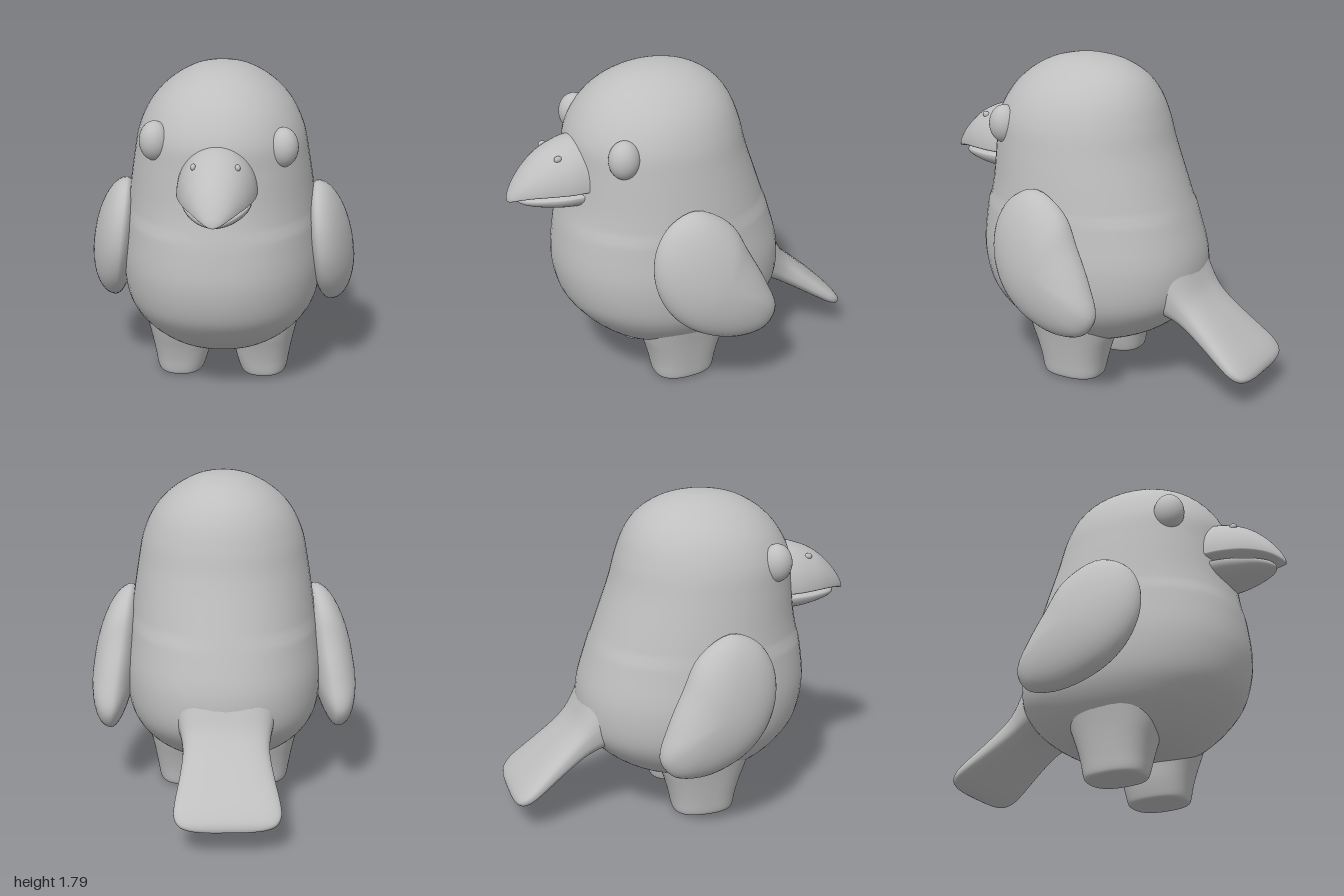
import * as THREE from 'three';

const SEG = 56;

// Catmull-Rom smoothing of every column in a table of section rows
function smooth(rows, sub = 6) {
  const out = [];
  for (let i = 0; i < rows.length - 1; i++) {
    const p = k => rows[Math.max(0, Math.min(rows.length - 1, k))];
    for (let s = 0; s < sub; s++) {
      const t = s / sub;
      out.push(rows[i].map((_, c) => {
        const a = p(i - 1)[c], b = p(i)[c], d = p(i + 1)[c], e = p(i + 2)[c];
        return b + 0.5 * t * (d - a + t * (2 * a - 5 * b + 4 * d - e + t * (3 * (b - d) + e - a)));
      }));
    }
  }
  out.push(rows[rows.length - 1]);
  return out;
}

// Superellipse point for step j, as [cosine-like, sine-like]
function unit(j, power = 2) {
  const a = (j / SEG) * Math.PI * 2, e = 2 / power;
  const f = v => Math.sign(v) * Math.pow(Math.abs(v), e);
  return [f(Math.cos(a)), f(Math.sin(a))];
}

// Closed skin over a stack of loops, with capped ends
function skin(rows, point) {
  const pos = [], idx = [];
  rows.forEach(r => { for (let j = 0; j < SEG; j++) pos.push(...point(r, j)); });
  for (let i = 0; i < rows.length - 1; i++) {
    for (let j = 0; j < SEG; j++) {
      const k = (j + 1) % SEG, a = i * SEG + j, b = i * SEG + k;
      idx.push(a, b, a + SEG, b, b + SEG, a + SEG);
    }
  }
  [0, rows.length - 1].forEach((i, end) => {
    const c = [0, 0, 0], n = pos.length / 3;
    for (let j = 0; j < SEG; j++) for (let q = 0; q < 3; q++) c[q] += pos[(i * SEG + j) * 3 + q] / SEG;
    pos.push(...c);
    for (let j = 0; j < SEG; j++) {
      const a = i * SEG + j, b = i * SEG + (j + 1) % SEG;
      if (end) idx.push(a, b, n); else idx.push(b, a, n);
    }
  });
  const g = new THREE.BufferGeometry();
  g.setAttribute('position', new THREE.Float32BufferAttribute(pos, 3));
  g.setIndex(idx);
  g.computeVertexNormals();
  return g;
}

// Copy reflected across x = 0, with the winding restored
function mirrored(geo) {
  const g = geo.clone().scale(-1, 1, 1);
  const a = g.index.array;
  for (let i = 0; i < a.length; i += 3) [a[i], a[i + 1]] = [a[i + 1], a[i]];
  g.computeVertexNormals();
  return g;
}

export function createModel() {
  const bird = new THREE.Group();
  bird.name = 'bird';
  const grey = new THREE.MeshStandardMaterial({ color: 0xbfbfbf });
  grey.name = 'plain grey';
  const add = (name, geo) => {
    const m = new THREE.Mesh(geo, grey);
    m.name = name;
    bird.add(m);
    return m;
  };
  const addPair = (name, geo) => {
    add('left' + name, geo);
    add('right' + name, mirrored(geo));
  };

  // Body and head: height, half width, front z, back z
  const bodyRows = smooth([
    [0.18, 0.02, 0.09, 0.05], [0.19, 0.17, 0.27, -0.12], [0.23, 0.29, 0.39, -0.23],
    [0.3, 0.395, 0.5, -0.375], [0.4, 0.485, 0.605, -0.495], [0.52, 0.535, 0.685, -0.565],
    [0.7, 0.55, 0.722, -0.57], [0.9, 0.53, 0.705, -0.515], [1.1, 0.505, 0.665, -0.445],
    [1.3, 0.475, 0.645, -0.375], [1.45, 0.445, 0.63, -0.335], [1.58, 0.385, 0.565, -0.285],
    [1.68, 0.295, 0.47, -0.21], [1.75, 0.185, 0.35, -0.1], [1.782, 0.09, 0.23, 0.02],
    [1.79, 0.01, 0.14, 0.11],
  ]);
  add('body', skin(bodyRows, ([y, w, f, b], j) => {
    const [c, s] = unit(j, y < 1 ? 2.15 : 2.05);
    return [w * s, y, (f + b) / 2 + c * (f - b) / 2];
  }));

  // Legs: height, centre x, half width, half depth
  const legRows = smooth([
    [0, 0.235, 0.105, 0.145], [0.003, 0.235, 0.122, 0.163], [0.025, 0.235, 0.135, 0.175],
    [0.1, 0.23, 0.153, 0.19], [0.18, 0.23, 0.168, 0.212], [0.26, 0.23, 0.185, 0.24], [0.36, 0.23, 0.21, 0.27],
  ], 4);
  addPair('Leg', skin(legRows, ([y, x, w, d], j) => {
    const [c, s] = unit(j, 2.5);
    return [x + w * s, y, 0.08 + d * c];
  }));

  // Wings: a leaf outline (y, z) inflated into a tilted cushion
  const outline = new THREE.CatmullRomCurve3([
    [1.14, 0.14], [1.08, 0.29], [0.95, 0.375], [0.78, 0.39], [0.62, 0.335], [0.5, 0.23],
    [0.42, 0.08], [0.39, -0.08], [0.42, -0.22], [0.52, -0.285], [0.68, -0.235], [0.87, -0.14], [1.04, -0.045],
  ].map(([y, z]) => new THREE.Vector3(0, y, z)), true).getPoints(SEG);
  const wingRows = [];
  for (let i = 1; i < 24; i++) {
    const a = (i / 24 - 0.5) * Math.PI;
    wingRows.push([Math.cos(a), Math.sin(a)]);
  }
  addPair('Wing', skin(wingRows, ([k, h], j) => {
    const y = 0.74 + (outline[j].y - 0.74) * k, z = 0.05 + (outline[j].z - 0.05) * k;
    const base = 0.53 + 0.115 * (1.14 - y) - 0.08 * (z - 0.05);
    return [base + h * (h > 0 ? 0.155 : 0.09), y, z];
  }));

  // Tail: distance along the slope, half width, half thickness
  const tailRows = smooth([
    [0, 0.27, 0.17], [0.12, 0.24, 0.11], [0.22, 0.232, 0.085], [0.36, 0.25, 0.07], [0.5, 0.275, 0.058],
    [0.58, 0.28, 0.05], [0.635, 0.255, 0.038], [0.662, 0.2, 0.022], [0.674, 0.11, 0.005],
  ]);
  add('tail', skin(tailRows, ([t, w, h], j) => {
    const [c, s] = unit(j, 2.7);
    return [w * c, 0.555 - 0.608 * t - 0.794 * h * s, -0.45 - 0.794 * t + 0.608 * h * s];
  }));

  // Beak halves: z, half width, mouth line, top height, bottom height
  const beakPoint = ([z, w, mid, top, low], j) => {
    const [c, s] = unit(j);
    return [w * c, mid + s * (s > 0 ? top - mid : mid - low), z];
  };
  add('upperBeak', skin(smooth([
    [0.5, 0.21, 1.215, 1.47, 1.18], [0.62, 0.208, 1.215, 1.463, 1.18], [0.7, 0.2, 1.215, 1.445, 1.18],
    [0.8, 0.17, 1.213, 1.4, 1.18], [0.88, 0.128, 1.205, 1.335, 1.175], [0.94, 0.085, 1.19, 1.265, 1.165],
    [0.98, 0.04, 1.17, 1.2, 1.152], [0.992, 0.006, 1.16, 1.165, 1.153],
  ]), beakPoint));
  add('lowerBeak', skin(smooth([
    [0.5, 0.18, 1.17, 1.2, 1.075], [0.65, 0.178, 1.17, 1.2, 1.08], [0.75, 0.155, 1.165, 1.195, 1.09],
    [0.85, 0.11, 1.16, 1.185, 1.108], [0.91, 0.06, 1.152, 1.175, 1.125], [0.935, 0.01, 1.145, 1.155, 1.14],
  ]), beakPoint));

  for (const side of [1, -1]) {
    const label = side > 0 ? 'left' : 'right';
    // Eyes, one sitting slightly higher
    const eye = add(label + 'Eye', new THREE.SphereGeometry(1, 32, 24));
    eye.scale.set(0.08, 0.105, 0.085);
    eye.position.set(side * 0.335, side > 0 ? 1.42 : 1.445, 0.462);
    // Nostrils
    const nostril = add(label + 'Nostril', new THREE.SphereGeometry(1, 12, 10));
    nostril.scale.set(0.014, 0.018, 0.022);
    nostril.position.set(side * 0.112, 1.39, 0.74);
  }
  return bird;
}
